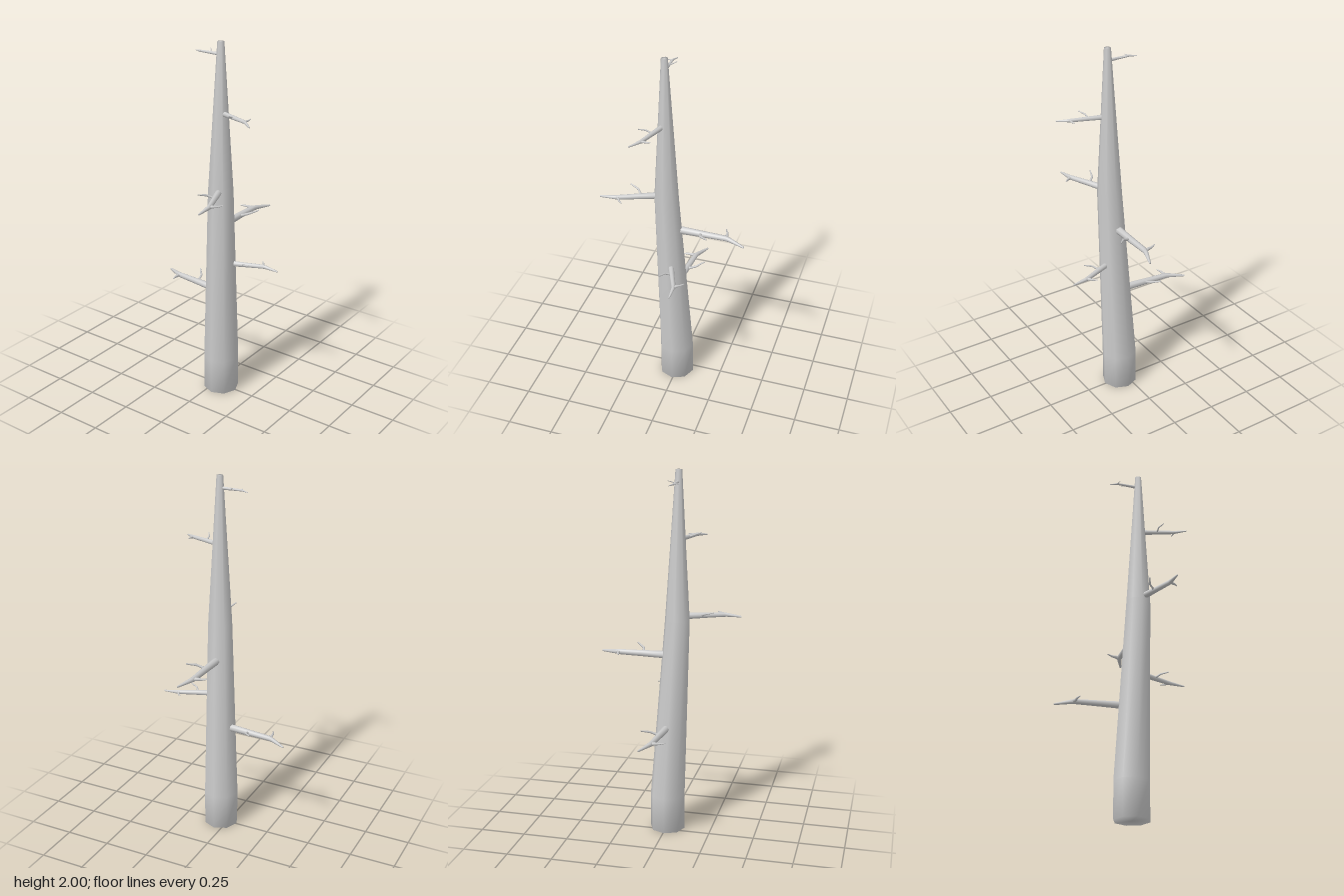
import * as THREE from 'three';

const material = new THREE.MeshStandardMaterial({ color: 0xcccccc });

// Closed, smooth tapered limb through [x, y, z, radius] rings.
// With `axis` set every ring faces that way, otherwise rings follow the path.
function limb(name, rings, sides, axis) {
  const pts = rings.map(r => new THREE.Vector3(r[0], r[1], r[2]));
  const positions = [];
  const index = [];
  const last = rings.length - 1;
  rings.forEach((ring, i) => {
    const t = axis ? axis.clone() : new THREE.Vector3()
      .subVectors(pts[Math.min(i + 1, last)], pts[Math.max(i - 1, 0)]).normalize();
    const ref = Math.abs(t.y) > 0.9 ? new THREE.Vector3(0, 0, 1) : new THREE.Vector3(0, 1, 0);
    const u = new THREE.Vector3().crossVectors(t, ref).normalize();
    const v = new THREE.Vector3().crossVectors(t, u);
    for (let j = 0; j < sides; j++) {
      const a = (j / sides) * Math.PI * 2;
      const p = pts[i].clone()
        .addScaledVector(u, Math.cos(a) * ring[3])
        .addScaledVector(v, Math.sin(a) * ring[3]);
      positions.push(p.x, p.y, p.z);
    }
  });
  const bottom = rings.length * sides;
  positions.push(...pts[0].toArray(), ...pts[last].toArray());
  for (let j = 0; j < sides; j++) {
    const k = (j + 1) % sides;
    for (let i = 0; i < last; i++) {
      const a = i * sides + j, b = i * sides + k;
      index.push(a, b, b + sides, a, b + sides, a + sides);
    }
    index.push(bottom, k, j, bottom + 1, last * sides + j, last * sides + k);
  }
  const geometry = new THREE.BufferGeometry();
  geometry.setAttribute('position', new THREE.Float32BufferAttribute(positions, 3));
  geometry.setIndex(index);
  geometry.computeVertexNormals();
  const mesh = new THREE.Mesh(geometry, material);
  mesh.name = name;
  return mesh;
}

// Unit branch running along +x and forking at x = 1
function createBranch() {
  const branch = new THREE.Group();
  branch.name = 'branch';
  branch.add(
    limb('branchStem', [
      [0, 0, 0, 0.08], [0.5, 0, 0, 0.066], [0.97, 0, 0, 0.056],
      [1.06, -0.005, 0.025, 0.047], [1.377, -0.035, 0.146, 0.02],
    ], 8),
    limb('forkTwig', [
      [1.0, 0, 0.01, 0.045], [0.965, 0.005, -0.09, 0.032],
      [0.96, 0.01, -0.165, 0.024], [0.91, 0.02, -0.28, 0.01],
    ], 6),
    limb('sideTwig', [
      [0.45, 0, 0.01, 0.04], [0.475, 0.035, 0.1, 0.026],
      [0.5, 0.07, 0.19, 0.025], [0.665, 0.13, 0.34, 0.014],
    ], 6),
  );
  return branch;
}

export function createModel() {
  const model = new THREE.Group();
  model.name = 'bareTree';

  // Leaning, tapering trunk
  model.add(limb('trunk', [
    [0.041, 0, 0.004, 0.097], [0.041, 0.2, 0.004, 0.097],
    [0.068, 1.2, 0.05, 0.068], [0.07, 2, 0.055, 0.018],
  ], 8, new THREE.Vector3(0, 1, 0)));

  // Branches: fork point x, y, z, heading dx, dz and length to the fork
  const branches = [
    [-0.267, 0.607, -0.012, -0.237, -0.02, 0.255],
    [0.278, 0.79, -0.055, 0.143, -0.06, 0.205],
    [0.058, 1.005, -0.28, 0, -1, 0.265],
    [0.17, 1.22, 0.288, 0.075, 0.175, 0.23],
    [0.26, 1.635, 0.115, 0.16, 0.05, 0.175],
    [-0.055, 1.935, 0.055, -1, 0.02, 0.105],
  ];
  for (const [x, y, z, dx, dz, length] of branches) {
    const branch = createBranch();
    const d = new THREE.Vector2(dx, dz).normalize();
    branch.position.set(x - d.x * length, y, z - d.y * length);
    branch.rotation.y = Math.atan2(-dz, dx);
    branch.scale.setScalar(length);
    model.add(branch);
  }
  return model;
}
